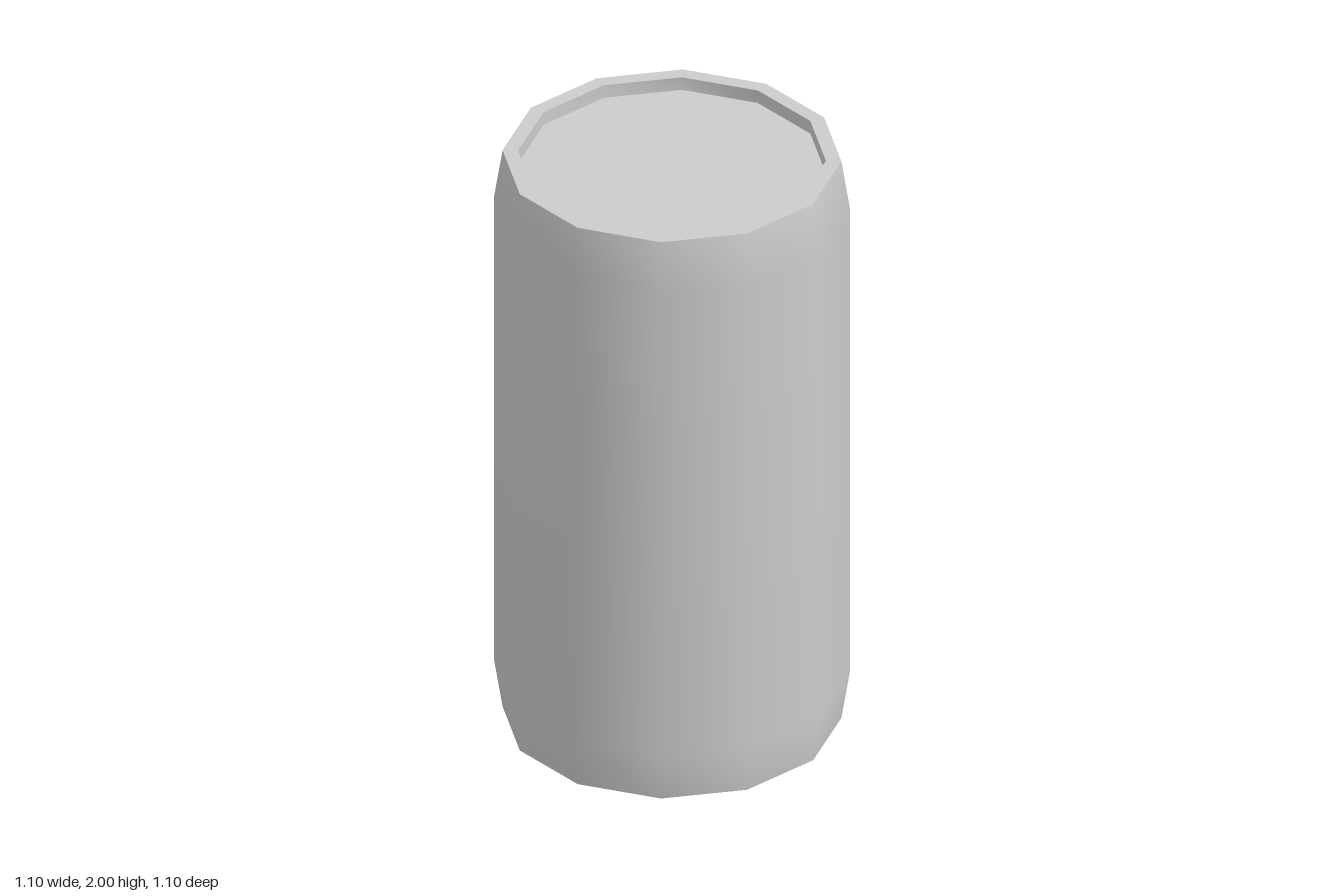
import * as THREE from 'three';
import { toCreasedNormals } from 'three/addons/utils/BufferGeometryUtils.js';

const SIDES = 12;

// Turn a list of [radius, height] points around the y axis
function turned(points) {
  return new THREE.LatheGeometry(points.map(([r, y]) => new THREE.Vector2(r, y)), SIDES);
}

export function createModel() {
  const group = new THREE.Group();
  group.name = 'can';
  const material = new THREE.MeshStandardMaterial({ color: 0xcccccc });

  // Smooth side wall, tapering slightly at both ends
  const body = new THREE.Mesh(
    turned([[0.525, 0], [0.552, 0.17], [0.552, 1.83], [0.525, 2]]),
    material
  );
  body.name = 'body';
  group.add(body);

  // Flat rim, short inner wall and recessed lid, repeated at the bottom
  const endGeometry = toCreasedNormals(
    turned([[0.525, 1], [0.477, 1], [0.477, 0.955], [0, 0.955]]),
    Math.PI / 3
  );
  for (const [name, flip] of [['topLid', 0], ['bottomLid', Math.PI]]) {
    const end = new THREE.Mesh(endGeometry, material);
    end.name = name;
    end.position.y = 1;
    end.rotation.x = flip;
    group.add(end);
  }

  return group;
}
